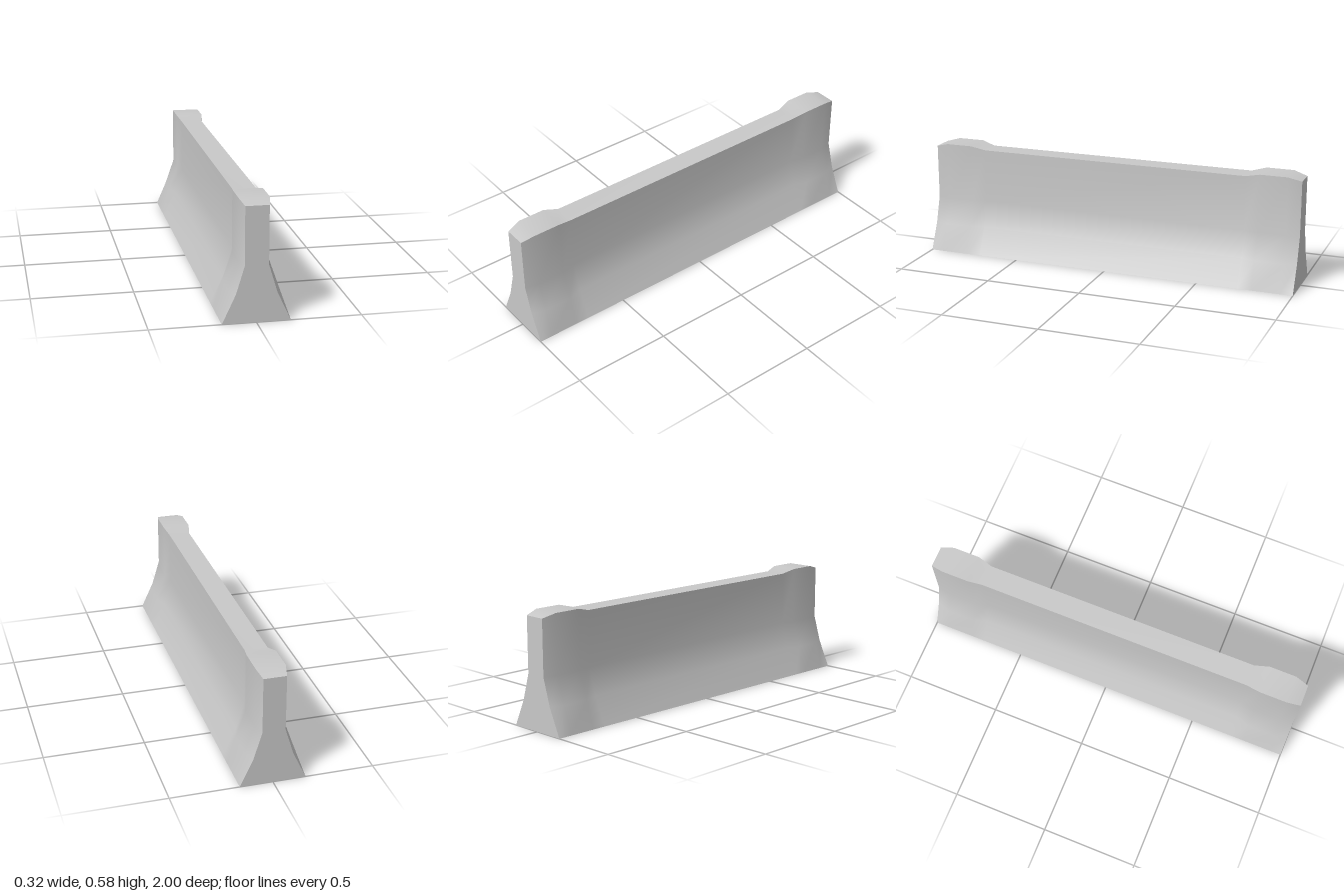
import * as THREE from 'three';

// Half profiles from the foot up to the top edge: [x, y]
const SLIM = [[0.162, 0], [0.097, 0.14], [0.056, 0.276], [0.056, 0.557]];
const WIDE = [[0.162, 0], [0.12, 0.14], [0.072, 0.276], [0.072, 0.576]];

// Profiles along the length, swelling near each end
const STATIONS = [
  [-1, SLIM], [-0.93, WIDE], [-0.79, WIDE], [-0.715, SLIM],
  [0.715, SLIM], [0.79, WIDE], [0.93, WIDE], [1, SLIM],
];

// Smooth surface through rows of points; it faces (along rows) x (along a row)
function patch(rows) {
  const n = rows[0].length;
  const index = [];
  for (let i = 0; i < rows.length - 1; i++) {
    for (let j = 0; j < n - 1; j++) {
      const a = i * n + j, b = a + n;
      index.push(a, b, b + 1, a, b + 1, a + 1);
    }
  }
  const geometry = new THREE.BufferGeometry();
  geometry.setAttribute('position', new THREE.Float32BufferAttribute(rows.flat(2), 3));
  geometry.setIndex(index);
  geometry.computeVertexNormals();
  return geometry;
}

export function createModel() {
  const concrete = new THREE.MeshStandardMaterial({ color: 0xc8c8c8 });
  concrete.name = 'concrete';
  const group = new THREE.Group();
  group.name = 'roadBarrier';
  const add = (name, rows) => {
    const mesh = new THREE.Mesh(patch(rows), concrete);
    mesh.name = name;
    group.add(mesh);
  };

  // Point columns of one flank: side is +1 (left) or -1 (right)
  const column = (side, [z, profile]) => profile.map(([x, y]) => [side * x, y, z]);
  const flank = (side) => STATIONS.map((s) => column(side, s));
  const left = flank(1), right = flank(-1);
  const last = STATIONS.length - 1;
  const top = SLIM.length - 1;

  // Flared flanks
  add('leftFlank', [...left].reverse());
  add('rightFlank', right);

  // Top cap and underside
  add('topCap', STATIONS.map((s, i) => [right[i][top], left[i][top]]));
  add('underside', STATIONS.map((s, i) => [left[i][0], right[i][0]]));

  // Flat end faces
  add('frontEnd', [right[last], left[last]]);
  add('backEnd', [left[0], right[0]]);

  return group;
}
